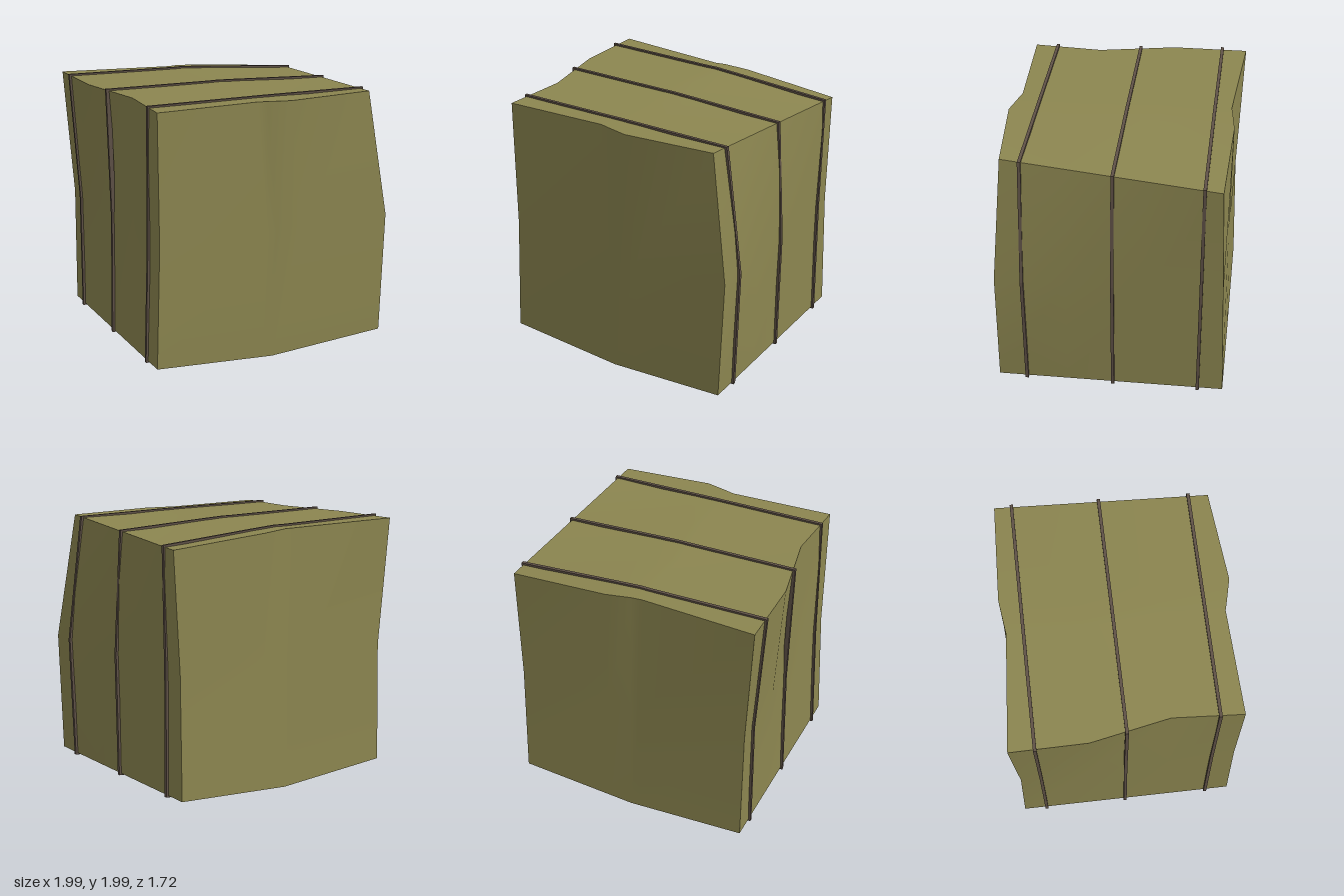
import * as THREE from 'three';

// Grid stops across (u), up (v) and deep (w, back to front)
const U = [0, 0.46, 0.5, 0.6, 1], V = [0, 0.5, 1], W = [0, 0.34, 0.69, 1];

// Four upright corner edges, each listed bottom, middle, top
const backLeft = [[-0.92, 0.08, -0.85], [-0.92, 1, -0.825], [-0.98, 1.98, -0.86]];
const backRight = [[0.93, 0.08, -0.86], [0.92, 1, -0.83], [0.95, 1.88, -0.8]];
const frontLeft = [[-0.92, 0.08, 0.83], [-0.885, 1, 0.82], [-0.89, 1.98, 0.82]];
const frontRight = [[0.945, 0.08, 0.86], [0.98, 1.01, 0.85], [0.835, 1.97, 0.79]];

// Piecewise linear lookup
function lookup(stops, values, t) {
  let i = 0;
  while (i < stops.length - 2 && t > stops[i + 1]) i++;
  return THREE.MathUtils.lerp(values[i], values[i + 1], (t - stops[i]) / (stops[i + 1] - stops[i]));
}

const along = (edge, v) => new THREE.Vector3(...[0, 1, 2].map((a) => lookup(V, edge.map((p) => p[a]), v)));

// Point of the lumpy block
function blockPoint(u, v, w) {
  const back = along(backLeft, v).lerp(along(backRight, v), u);
  const p = back.lerp(along(frontLeft, v).lerp(along(frontRight, v), u), w);
  const top = Math.max(0, 2 * v - 1), bottom = Math.max(0, 1 - 2 * v);
  // sagging underside
  p.y -= 0.06 * bottom * (1 - Math.abs(2 * u - 1));
  // dents and lumps along the upper edges
  p.x += top * (1 - u) * lookup(W, [0, -0.025, 0.06, 0], w);
  p.z += top * w * lookup(U, [0, -0.015, 0.005, 0.05, 0], u);
  p.z += top * (1 - w) * lookup(U, [0, 0.038, 0.025, -0.005, 0], u);
  p.y += top * (1 - w) * lookup(U, [0, 0.025, 0.03, 0.025, 0], u);
  return p;
}

function makeBale() {
  const geometry = new THREE.BoxGeometry(1, 1, 1, 4, 2, 3);
  const pos = geometry.attributes.position;
  for (let i = 0; i < pos.count; i++) {
    const u = U[Math.round((pos.getX(i) + 0.5) * 4)];
    const v = V[Math.round((pos.getY(i) + 0.5) * 2)];
    const w = W[Math.round((pos.getZ(i) + 0.5) * 3)];
    pos.setXYZ(i, ...blockPoint(u, v, w).toArray());
  }
  geometry.computeVertexNormals();
  const mesh = new THREE.Mesh(geometry, new THREE.MeshStandardMaterial({ color: 0x8c8650 }));
  mesh.name = 'bale';
  return mesh;
}

// Flat band that follows the block's cross-section at depth z
function makeStrap(z, material) {
  const w = (z + 0.84) / 1.68, width = 0.024;
  const section = [
    ...U.map((u) => blockPoint(u, 0, w)),
    blockPoint(1, 0.5, w),
    ...[...U].reverse().map((u) => blockPoint(u, 1, w)),
    blockPoint(0, 0.5, w),
  ];
  const loop = (s) => section.map((p) => new THREE.Vector2(p.x * (1 + s), 1 + (p.y - 1) * (1 + s * 0.75)));
  const shape = new THREE.Shape(loop(0.018));
  shape.holes.push(new THREE.Path(loop(-0.02).reverse()));
  const geometry = new THREE.ExtrudeGeometry(shape, { depth: width, bevelEnabled: false });
  geometry.translate(0, 0, z - width / 2);
  const mesh = new THREE.Mesh(geometry, material);
  mesh.name = 'strap';
  return mesh;
}

export function createModel() {
  const model = new THREE.Group();
  model.name = 'strappedBale';
  model.add(makeBale());
  const strapMaterial = new THREE.MeshStandardMaterial({ color: 0x5f5147 });
  for (const z of [0.645, -0.02, -0.67]) model.add(makeStrap(z, strapMaterial));
  return model;
}
